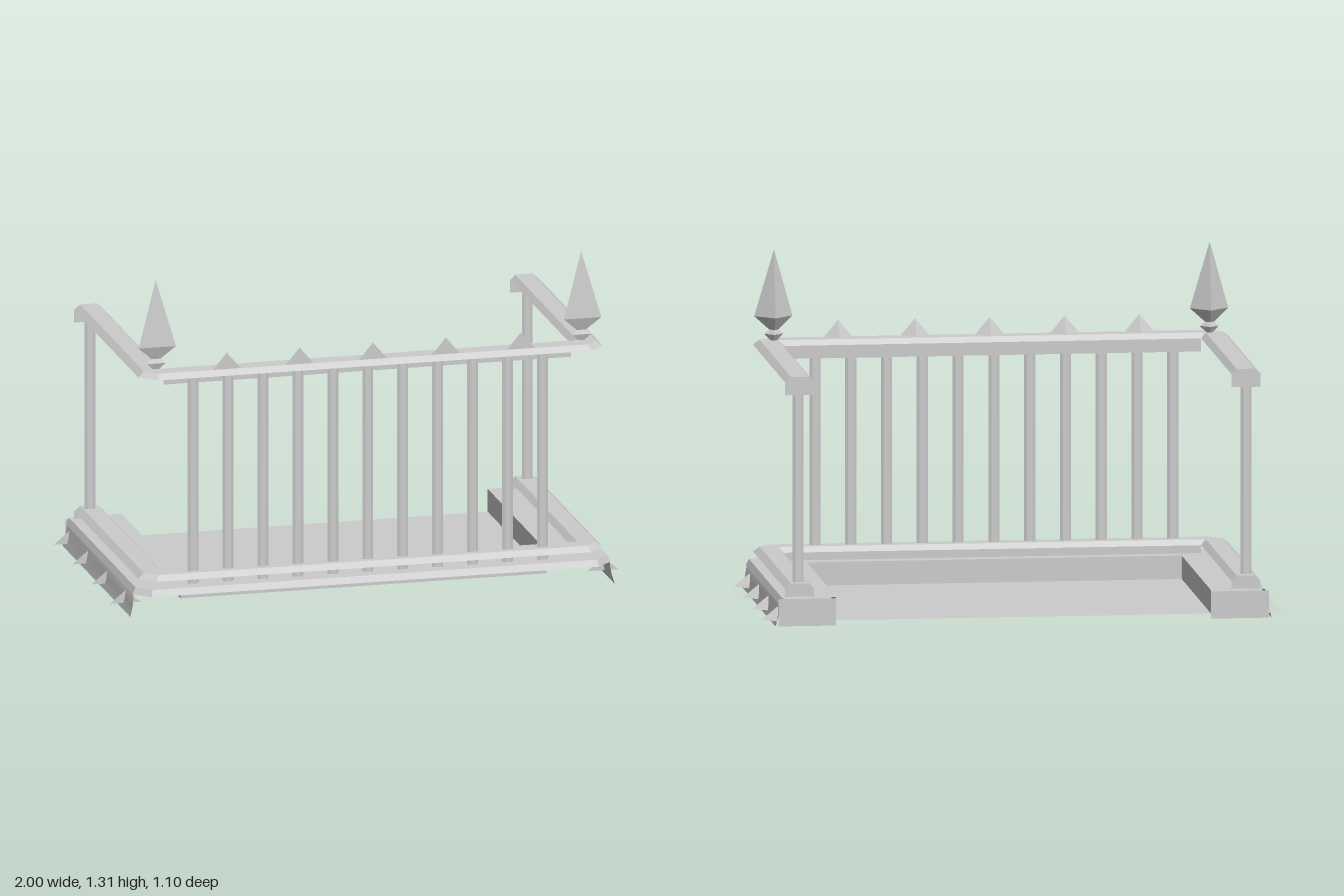
import * as THREE from 'three';

const mat = new THREE.MeshStandardMaterial({ color: 0xcccccc, flatShading: true, side: THREE.DoubleSide });
const smoothMat = new THREE.MeshStandardMaterial({ color: 0xcccccc, side: THREE.DoubleSide });

function add(parent, name, geometry, material = mat) {
  const mesh = new THREE.Mesh(geometry, material);
  mesh.name = name;
  parent.add(mesh);
  return mesh;
}

// Skin a grid of cross-sections (rows of [x, y, z])
function loft(rows) {
  const n = rows[0].length, index = [];
  for (let i = 0; i < rows.length - 1; i++) {
    for (let j = 0; j < n - 1; j++) {
      const a = i * n + j, b = a + n;
      index.push(a, a + 1, b, b, a + 1, b + 1);
    }
  }
  const g = new THREE.BufferGeometry();
  g.setAttribute('position', new THREE.Float32BufferAttribute(rows.flat(2), 3));
  g.setIndex(index);
  g.computeVertexNormals();
  return g;
}

// U-shaped path with chamfered front corners; profile entries are [insetX, insetZ, y]
function uSweep(X, front, back, chamfer, profile) {
  return loft(profile.map(([dx, dz, y]) => {
    const c = Math.max(0.001, chamfer - 0.293 * (dx + dz));
    const x = X - dx, z = front - dz;
    return [[x, y, back], [x, y, z - c], [x - c, y, z], [c - x, y, z], [-x, y, z - c], [-x, y, back]];
  }));
}

// Flat plate in the xy plane
function plate(x0, x1, y0, y1, z) {
  return loft([[[x0, y0, z], [x0, y1, z]], [[x1, y0, z], [x1, y1, z]]]);
}

// Four-faced thorn with an upright front face
function thorn(w, h, d) {
  const p = [-w, 0, 0, w, 0, 0, 0, h, 0, 0, 0, -d];
  const g = new THREE.BufferGeometry();
  g.setAttribute('position', new THREE.Float32BufferAttribute(p, 3));
  g.setIndex([0, 1, 2, 1, 3, 2, 3, 0, 2, 0, 3, 1]);
  g.computeVertexNormals();
  return g;
}

export function createModel() {
  const model = new THREE.Group();
  model.name = 'balcony';

  // Curb with the walls of the sunken floor
  add(model, 'curb', uSweep(0.94, 0.555, -0.535, 0.06, [
    [0.22, 0.185, 0.085], [0, 0, 0.085], [0.012, 0.012, 0.11], [0.22, 0.185, 0.11], [0.22, 0.185, 0.02],
  ]));
  const floor = new THREE.PlaneGeometry(1.44, 0.905).rotateX(-Math.PI / 2).translate(0, 0.02, -0.0825);
  add(model, 'floor', floor);

  // Flared side aprons, back end plates and side thorns
  const flare = [[0.92, 0.11, 0.49], [0.936, 0.085, 0.495], [0.942, 0.04, 0.503], [0.953, 0, 0.51]];
  for (const s of [1, -1]) {
    add(model, 'sideApron', loft(flare.map(([x, y, z]) => [[s * x, y, z], [s * x, y, -0.538]])), smoothMat);
    add(model, 'curbEnd', plate(s * 0.72, s * 0.942, 0, 0.105, -0.536));
    for (const z of [0.38, 0.095, -0.2, -0.487]) {
      add(model, 'sideThorn', thorn(0.06, 0.05, 0.055)).position.set(s * 0.94, 0.02, z);
    }
  }

  // Lower and upper rails: bevelled band, hanging end caps, inner front flange
  for (const [name, y] of [['lowerRail', 0.16], ['upperRail', 0.957]]) {
    const rail = new THREE.Group();
    rail.name = name;
    model.add(rail);
    const low = y - 0.02, drop = y - (name === 'lowerRail' ? 0.05 : 0.07);
    const section = [[0, low], [0.024, y], [0.092, y], [0.112, low], [0, low]];
    add(rail, 'railBand', uSweep(0.914, 0.54, -0.51, 0.06, section.map(([d, h]) => [d, d, h])));
    add(rail, 'frontFlange', plate(-0.802, 0.802, drop, low, 0.428));
    for (const s of [1, -1]) {
      const cap = new THREE.Shape([[0.802, drop], [0.914, drop], [0.914, low], [0.89, y], [0.822, y], [0.802, low]]
        .map(([px, py]) => new THREE.Vector2(s * px, py)));
      add(rail, 'railEndCap', new THREE.ShapeGeometry(cap).translate(0, 0, -0.511));
    }
  }

  // Flattened six-sided balusters
  const bar = new THREE.CylinderGeometry(0.0215, 0.0215, 0.82, 6)
    .rotateY(Math.PI / 2).scale(1, 1, 0.38).translate(0, 0.52, 0);
  for (let i = 0; i < 11; i++) {
    add(model, 'frontBaluster', bar).position.set(-0.7 + i * 0.1375, 0, 0.485);
  }
  for (const x of [-0.863, 0.858]) add(model, 'backPost', bar).position.set(x, 0, -0.466);

  // Thorns along the front rail
  for (const x of [-0.575, -0.288, 0, 0.287, 0.582]) {
    add(model, 'railThorn', thorn(0.055, 0.065, 0.055)).position.set(x, 0.957, 0.515);
  }

  // Three-sided spear finials on the front corners
  const spear = [[0.012, 0], [0.042, 0.026], [0.02, 0.043], [0.085, 0.093], [0, 0.353]]
    .map(([r, y]) => new THREE.Vector2(r, y));
  const finial = new THREE.LatheGeometry(spear, 3).rotateY(Math.PI).scale(1, 1, 0.55);
  for (const s of [1, -1]) add(model, 'finial', finial).position.set(s * 0.837, 0.955, 0.446);

  return model;
}
